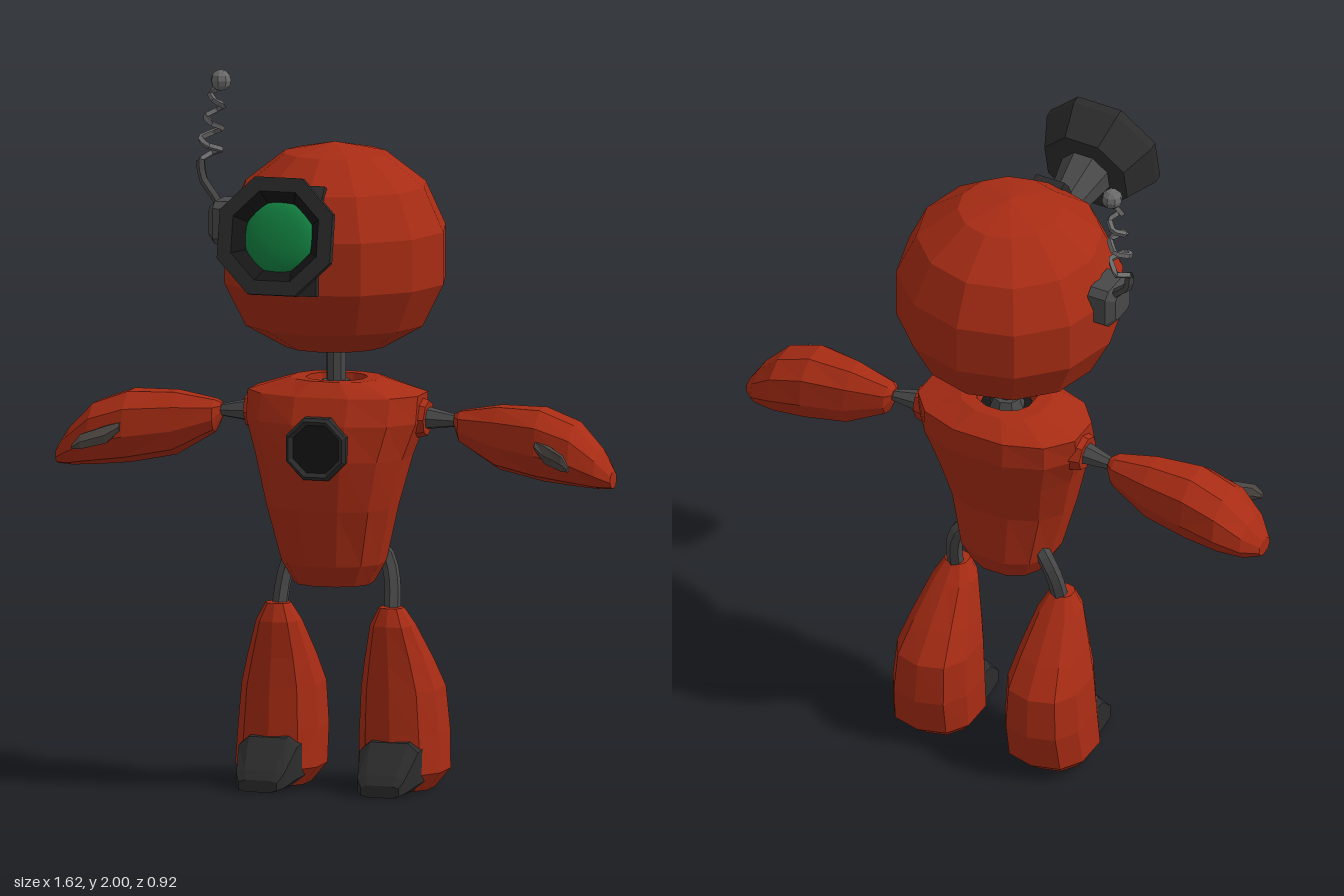
import * as THREE from 'three';

const mat = (color, flat = true) =>
  new THREE.MeshStandardMaterial({ color, flatShading: flat, side: THREE.DoubleSide });
const red = mat(0xa82c14), dark = mat(0x2c2c2c), metal = mat(0x484848);
const black = mat(0x161616), steel = mat(0x6a6a6a), thumbGrey = mat(0x4a4440);
const green = mat(0x128040, false);

function add(parent, name, geometry, material) {
  const mesh = new THREE.Mesh(geometry, material);
  mesh.name = name;
  parent.add(mesh);
  return mesh;
}

// Skin rounded cross-sections [t, aMin, aMax, bMin, bMax] along an axis, ends capped.
// y: a = x, b = z;  x: a = y, b = z;  z: a = x, b = y.  A lower power is boxier.
function loft(axis, sections, sides, power = 0.85) {
  const place = {
    x: (t, a, b) => [t, a, b], y: (t, a, b) => [a, t, b], z: (t, a, b) => [a, b, t],
  }[axis];
  const bend = (v) => Math.sign(v) * Math.abs(v) ** power;
  const rings = sections.map(([t, a0, a1, b0, b1]) =>
    Array.from({ length: sides }, (_, i) => {
      const th = (i + 0.5) / sides * Math.PI * 2;
      return place(t, (a0 + a1) / 2 + (a1 - a0) / 2 * bend(Math.cos(th)),
        (b0 + b1) / 2 + (b1 - b0) / 2 * bend(Math.sin(th)));
    }));
  const centre = ([t, a0, a1, b0, b1]) => place(t, (a0 + a1) / 2, (b0 + b1) / 2);
  const pos = [];
  const tri = (p, q, r) => (axis === 'y' ? pos.push(...p, ...r, ...q) : pos.push(...p, ...q, ...r));
  const last = rings.length - 1;
  const c0 = centre(sections[0]), c1 = centre(sections[last]);
  for (let i = 0; i < sides; i++) {
    const j = (i + 1) % sides;
    for (let k = 0; k < last; k++) {
      tri(rings[k][i], rings[k][j], rings[k + 1][j]);
      tri(rings[k][i], rings[k + 1][j], rings[k + 1][i]);
    }
    tri(c0, rings[0][j], rings[0][i]);
    tri(c1, rings[last][i], rings[last][j]);
  }
  const g = new THREE.BufferGeometry();
  g.setAttribute('position', new THREE.Float32BufferAttribute(pos, 3));
  g.computeVertexNormals();
  return g;
}

const lathe = (pts, sides, start = 0) =>
  new THREE.LatheGeometry(pts.map(([r, y]) => new THREE.Vector2(r, y)), sides, start);

// Tapered rod between two points
function rod(from, to, r0, r1, sides) {
  const a = new THREE.Vector3(...from), b = new THREE.Vector3(...to), d = b.clone().sub(a);
  const g = new THREE.CylinderGeometry(r1, r0, d.length(), sides);
  g.applyQuaternion(new THREE.Quaternion().setFromUnitVectors(
    new THREE.Vector3(0, 1, 0), d.clone().normalize()));
  const m = a.add(b).multiplyScalar(0.5);
  return g.translate(m.x, m.y, m.z);
}

const tube = (pts, radius, segs, sides, tension = 0.5) => new THREE.TubeGeometry(
  new THREE.CatmullRomCurve3(pts.map((p) => new THREE.Vector3(...p)), false, 'catmullrom', tension),
  segs, radius, sides);

function makeHead() {
  const head = new THREE.Group();
  head.name = 'head';
  add(head, 'skull', lathe([[0.07, 1.30], [0.08, 1.243], [0.14, 1.245], [0.255, 1.31], [0.316, 1.43],
    [0.316, 1.577], [0.26, 1.70], [0.145, 1.79], [0, 1.82]], 12).translate(0, 0, -0.148), red);
  add(head, 'neckSocket', new THREE.CylinderGeometry(0.075, 0.075, 0.01, 12)
    .translate(0, 1.285, -0.148), black);

  // Slot plate that carries the eye stalk, drawn in z and y
  const plate = new THREE.Shape([[0.05, 1.43], [0.176, 1.43], [0.176, 1.58], [0.12, 1.70],
    [0.095, 1.73], [0.03, 1.70]].map(([z, y]) => new THREE.Vector2(z, y)));
  add(head, 'eyeSlot', new THREE.ExtrudeGeometry(plate, { depth: 0.09, bevelEnabled: false })
    .rotateY(-Math.PI / 2).translate(0.045, 0, 0), dark);

  // Eye, facing along its own +z, tilted upwards
  const eye = new THREE.Group();
  eye.name = 'eye';
  eye.position.set(0, 1.636, 0.423);
  eye.rotation.x = -0.216;
  head.add(eye);
  const o = Math.PI / 8;
  add(eye, 'eyeStalk', lathe([[0.042, -0.32], [0.048, -0.27], [0.078, -0.115]], 8, o)
    .rotateX(Math.PI / 2), metal);
  add(eye, 'eyeCup', lathe([[0, -0.12], [0.135, -0.12], [0.178, -0.025], [0.178, 0], [0.135, 0]], 8, o)
    .rotateX(Math.PI / 2), dark);
  add(eye, 'eyeInnerRim', lathe([[0.135, 0], [0.1, -0.045]], 8, o).rotateX(Math.PI / 2), black);
  add(eye, 'lens', new THREE.SphereGeometry(0.104, 24, 8, 0, Math.PI * 2, 0, Math.PI / 2)
    .scale(1, 0.3, 1).rotateX(Math.PI / 2).translate(0, 0, -0.05), green);

  // Antenna on the side of the head
  const antenna = new THREE.Group();
  antenna.name = 'antenna';
  head.add(antenna);
  add(antenna, 'antennaBase', loft('x', [[-0.355, 1.54, 1.625, -0.19, -0.1],
    [-0.335, 1.52, 1.645, -0.215, -0.075], [-0.28, 1.52, 1.645, -0.215, -0.075]], 8, 0.4), metal);
  add(antenna, 'antennaStem', tube([[-0.325, 1.60, -0.16], [-0.36, 1.645, -0.18],
    [-0.40, 1.69, -0.2], [-0.41, 1.74, -0.21]], 0.013, 6, 5), metal);
  const coil = [[-0.41, 1.74, -0.21]];
  for (let i = 1; i <= 12; i++) {
    const t = i / 12, th = Math.PI + i * Math.PI / 2;
    const r = 0.038 * (1 - 0.45 * t);
    coil.push([-0.39 + 0.035 * t + r * Math.cos(th), 1.74 + 0.19 * t, -0.21 + 0.02 * t + r * Math.sin(th)]);
  }
  coil.push([-0.345, 1.96, -0.19]);
  add(antenna, 'antennaSpring', tube(coil, 0.009, 39, 4, 0.15), steel);
  add(antenna, 'antennaBall', new THREE.SphereGeometry(0.03, 8, 6).translate(-0.345, 1.97, -0.19), steel);
  return head;
}

function makeBody() {
  const body = new THREE.Group();
  body.name = 'body';
  // Last two sections sink into the neck opening
  add(body, 'torso', loft('y', [
    [0.58, -0.11, 0.11, -0.24, -0.04], [0.64, -0.145, 0.145, -0.267, -0.01],
    [0.80, -0.185, 0.185, -0.27, 0.02], [0.94, -0.22, 0.22, -0.315, 0.034],
    [1.04, -0.255, 0.255, -0.345, 0.02], [1.115, -0.255, 0.255, -0.342, -0.012],
    [1.155, -0.13, 0.13, -0.28, -0.055], [1.155, -0.085, 0.085, -0.245, -0.085],
    [1.10, -0.075, 0.075, -0.235, -0.095]], 12, 0.88), red);
  add(body, 'neckSocket', new THREE.CylinderGeometry(0.075, 0.075, 0.01, 12).translate(0, 1.11, -0.165), black);
  add(body, 'neckCollar', new THREE.CylinderGeometry(0.04, 0.052, 0.035, 8).translate(0, 1.13, -0.163), metal);
  add(body, 'neck', new THREE.CylinderGeometry(0.028, 0.028, 0.2, 8).translate(0, 1.2, -0.16), metal);
  // Chest porthole
  const o = Math.PI / 8;
  add(body, 'portholeRing', lathe([[0.094, -0.05], [0.094, 0.005], [0.084, 0.014], [0.07, 0.002]], 8, o)
    .rotateX(Math.PI / 2).translate(0, 0.978, 0.03), dark);
  add(body, 'portholeGlass', new THREE.CircleGeometry(0.074, 8, o).translate(0, 0.978, 0.034), black);
  return body;
}

// Limbs for the +x side
function makeLimbs() {
  const side = new THREE.Group();
  const arm = new THREE.Group();
  arm.name = 'arm';
  add(arm, 'shoulderSocket', rod([0.21, 1.05, -0.18], [0.262, 1.047, -0.18], 0.065, 0.05, 8), red);
  add(arm, 'shoulderJoint', rod([0.24, 1.048, -0.18], [0.35, 1.042, -0.187], 0.036, 0.016, 7), metal);
  add(arm, 'forearm', loft('x', [
    [0.34, 1.022, 1.065, -0.21, -0.165], [0.358, 0.98, 1.075, -0.228, -0.14],
    [0.47, 0.912, 1.096, -0.254, -0.105], [0.60, 0.886, 1.096, -0.27, -0.07],
    [0.70, 0.876, 1.058, -0.268, -0.068], [0.77, 0.872, 0.985, -0.238, -0.09],
    [0.808, 0.876, 0.925, -0.19, -0.125]], 9, 0.92), red);
  add(arm, 'thumb', loft('x', [
    [0.605, 0.985, 1.012, -0.115, -0.062], [0.64, 0.95, 1.005, -0.095, -0.04],
    [0.70, 0.938, 0.985, -0.04, -0.004], [0.722, 0.94, 0.955, -0.018, 0.003]], 6), thumbGrey);

  const leg = new THREE.Group();
  leg.name = 'leg';
  add(leg, 'hipJoint', tube([[0.115, 0.68, -0.19], [0.14, 0.645, -0.195], [0.158, 0.58, -0.18],
    [0.165, 0.49, -0.155]], 0.023, 6, 6), metal);
  add(leg, 'shin', loft('y', [
    [0, 0.095, 0.265, -0.30, -0.12], [0.05, 0.056, 0.303, -0.36, -0.088],
    [0.16, 0.056, 0.297, -0.38, -0.09], [0.28, 0.062, 0.286, -0.37, -0.093],
    [0.36, 0.078, 0.263, -0.31, -0.095], [0.465, 0.104, 0.228, -0.222, -0.093],
    [0.515, 0.13, 0.2, -0.18, -0.112]], 10, 0.82), red);
  add(leg, 'toe', loft('z', [
    [-0.16, 0.085, 0.267, 0, 0.155], [-0.085, 0.088, 0.265, 0, 0.145],
    [-0.01, 0.105, 0.248, 0, 0.062], [0.008, 0.12, 0.235, 0, 0.035]], 8, 0.5), dark);
  side.add(arm, leg);
  return side;
}

export function createModel() {
  const model = new THREE.Group();
  model.name = 'robot';
  const left = makeLimbs(), right = makeLimbs();
  left.name = 'leftLimbs';
  right.name = 'rightLimbs';
  right.scale.x = -1;
  model.add(makeHead(), makeBody(), left, right);
  return model;
}
